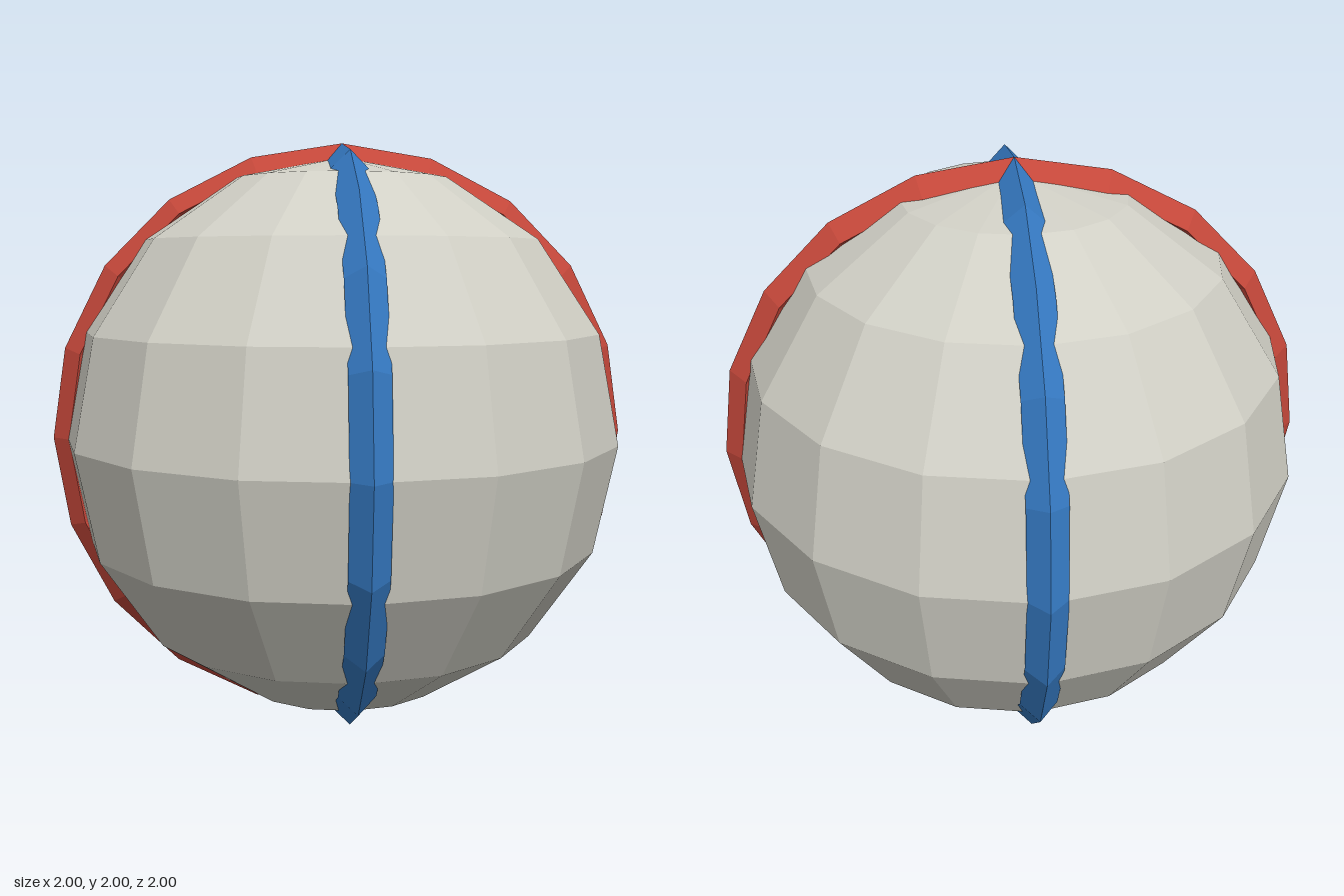
import * as THREE from 'three';

const material = (name, color) => {
  const m = new THREE.MeshStandardMaterial({ color, flatShading: true });
  m.name = name;
  return m;
};

export function createModel() {
  const group = new THREE.Group();
  group.name = 'bandedBall';

  const add = (name, geometry, mat, turn = 0) => {
    const mesh = new THREE.Mesh(geometry, mat);
    mesh.name = name;
    mesh.position.y = 1;
    mesh.rotation.y = turn;
    group.add(mesh);
  };

  // Faceted ball, 16 sides by 8 rows
  add('ball', new THREE.SphereGeometry(0.953, 16, 8), material('warmGrey', 0xd0cfc5));

  // Two crossed hoops with a diamond cross-section
  const hoop = new THREE.TorusGeometry(0.939, 0.061, 4, 20);
  add('sideHoop', hoop, material('red', 0xc4473a));
  add('frontHoop', hoop, material('blue', 0x377dc8), Math.PI / 2);

  return group;
}
